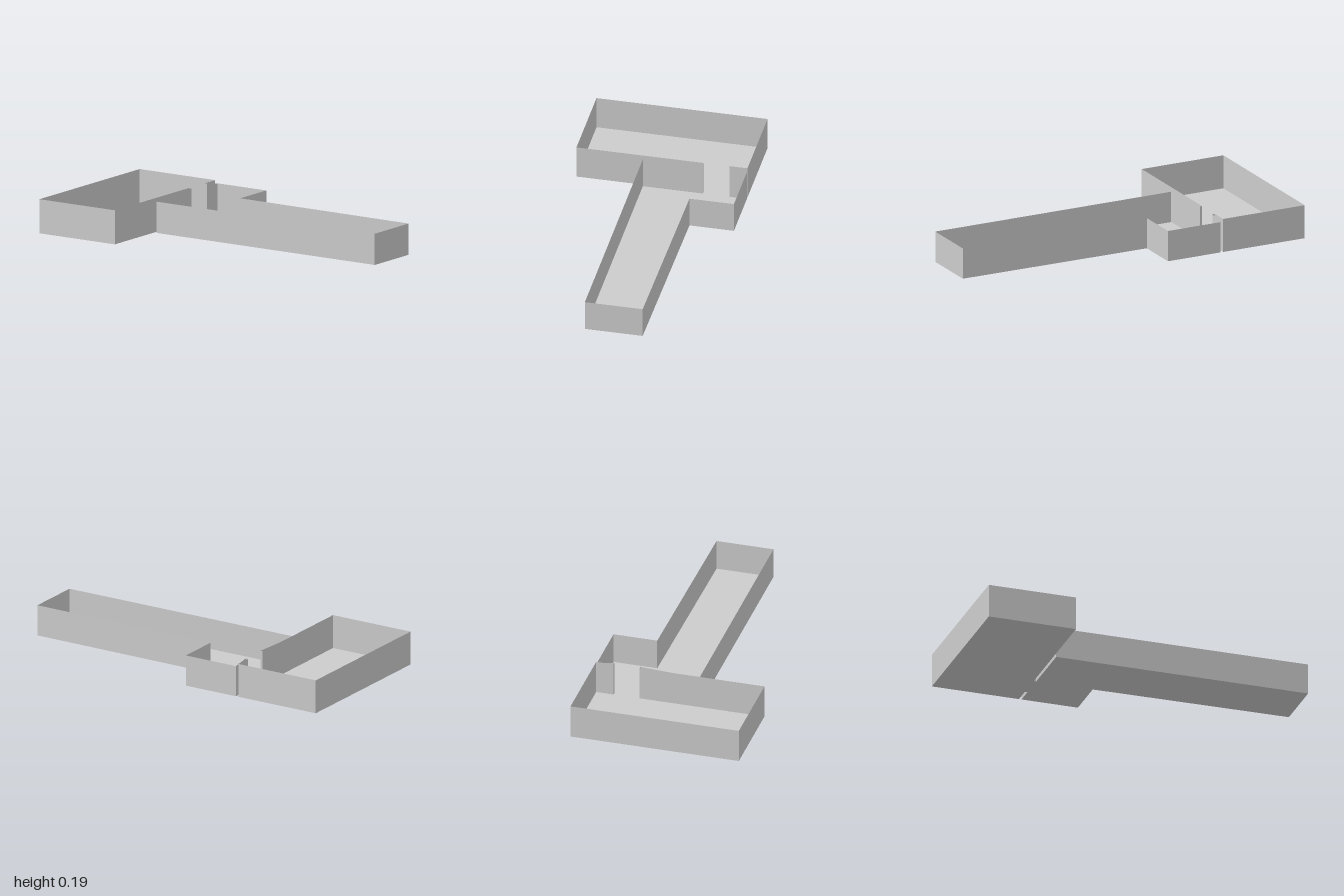
import * as THREE from 'three';

// Perimeter corners: x, z, wall height (in walking order, closed)
const HIGH = 0.193, LOW = 0.177;
const corners = [
  // large room
  [-0.49, -0.235, HIGH], [-0.49, 0.485, HIGH], [-1, 0.485, HIGH],
  [-1, -0.485, HIGH], [-0.49, -0.485, HIGH],
  // doorway jamb into the long room
  [-0.49, -0.385, HIGH], [-0.475, -0.385, HIGH],
  // alcove and long room
  [-0.475, -0.485, LOW], [-0.145, -0.485, LOW], [-0.145, -0.233, LOW],
  [1, -0.223, LOW], [1, 0.105, LOW], [-0.475, 0.105, LOW],
  // second jamb
  [-0.475, -0.235, HIGH],
];

// Thin upright panel between two corners, with a top that may slope
function wallPanel([x0, z0, h0], [x1, z1, h1], material) {
  const geometry = new THREE.BufferGeometry();
  geometry.setAttribute('position', new THREE.Float32BufferAttribute(
    [x0, 0, z0, x1, 0, z1, x1, h1, z1, x0, h0, z0], 3));
  geometry.setIndex([0, 1, 2, 0, 2, 3]);
  geometry.computeVertexNormals();
  return new THREE.Mesh(geometry, material);
}

export function createModel() {
  const plaster = new THREE.MeshStandardMaterial({ color: 0xcccccc });
  plaster.name = 'light grey plaster';
  plaster.side = THREE.DoubleSide;

  const model = new THREE.Group();
  model.name = 'floorPlan';

  // Floor covering both rooms and the doorway
  const outline = new THREE.Shape(corners.map(([x, z]) => new THREE.Vector2(x, -z)));
  const floor = new THREE.Mesh(new THREE.ShapeGeometry(outline).rotateX(-Math.PI / 2), plaster);
  floor.name = 'floor';
  model.add(floor);

  // Walls all the way round the perimeter
  const walls = new THREE.Group();
  walls.name = 'walls';
  corners.forEach((corner, i) => {
    const panel = wallPanel(corner, corners[(i + 1) % corners.length], plaster);
    panel.name = `wall${i + 1}`;
    walls.add(panel);
  });
  model.add(walls);
  return model;
}
